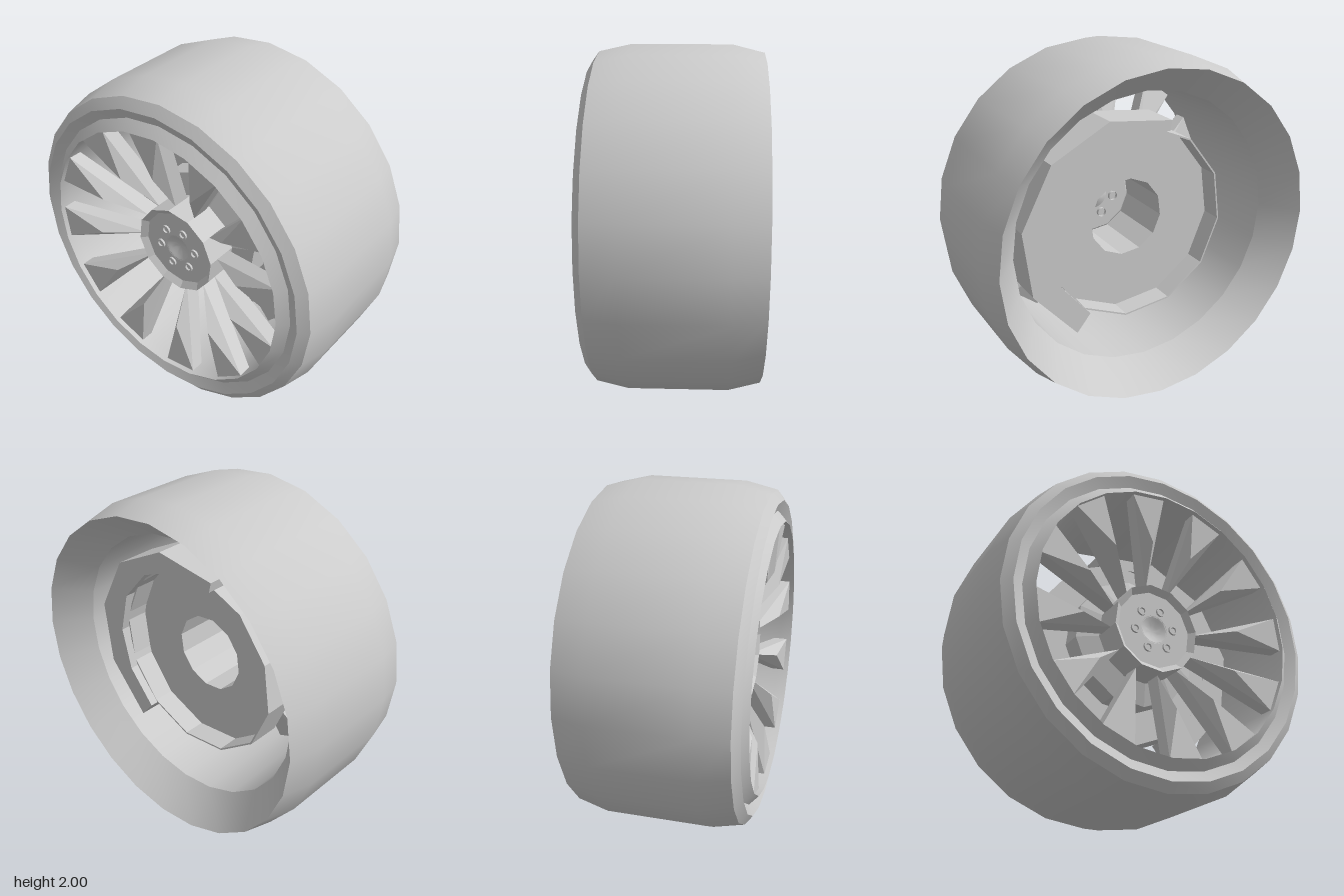
import * as THREE from 'three';
import { toCreasedNormals } from 'three/addons/utils/BufferGeometryUtils.js';
import { ConvexGeometry } from 'three/addons/geometries/ConvexGeometry.js';

const smooth = new THREE.MeshStandardMaterial({ color: 0xcccccc, side: THREE.DoubleSide });
const flat = new THREE.MeshStandardMaterial({ color: 0xcccccc, side: THREE.DoubleSide, flatShading: true });

// Turned part around the z axis from [radius, z] pairs
function turned(name, profile, sides, material, phase = 0) {
  const points = profile.map(([r, z]) => new THREE.Vector2(r, z));
  let geometry = new THREE.LatheGeometry(points, sides, phase);
  geometry.rotateX(Math.PI / 2);
  if (material === smooth) geometry = toCreasedNormals(geometry, 0.6);
  const mesh = new THREE.Mesh(geometry, material);
  mesh.name = name;
  return mesh;
}

// Point at a clockwise angle (degrees) from the top
function polar(r, degrees, z) {
  const a = THREE.MathUtils.degToRad(degrees);
  return new THREE.Vector3(r * Math.sin(a), r * Math.cos(a), z);
}

export function createModel() {
  const wheel = new THREE.Group();
  wheel.name = 'wheel';

  // Tyre with chamfered shoulders, front groove and inner barrel
  wheel.add(turned('tyre', [
    [0.955, -0.49], [1, -0.31], [1, 0.25], [0.96, 0.43], [0.905, 0.47], [0.845, 0.44],
  ], 24, smooth));
  wheel.add(turned('rim', [
    [0.845, 0.44], [0.79, 0.49], [0.79, 0.42], [0.8, -0.29], [0.955, -0.49],
  ], 24, smooth));

  // Twelve faceted spokes, each filling every second rim segment
  const spokes = new THREE.Group();
  spokes.name = 'spokes';
  const spokeGeometry = new ConvexGeometry([
    polar(0.79, -7.5, 0.46), polar(0.79, 7.5, 0.46), // front tip corners
    polar(0.79, -7.5, 0.38), polar(0.79, 7.5, 0.38), // back tip corners
    polar(0.5, 0, 0.44), // ridge peak
    polar(0.26, 0, 0.3), polar(0.26, 0, 0.2), // root
    polar(0.45, 0, 0.25),
  ]);
  for (let i = 0; i < 12; i++) {
    const spoke = new THREE.Mesh(spokeGeometry, flat);
    spoke.name = 'spoke';
    spoke.rotation.z = THREE.MathUtils.degToRad(7.5 - 30 * i);
    spokes.add(spoke);
  }
  wheel.add(spokes);

  // Hub with a raised edge around a recessed, dimpled face, over a flat bell
  const phase = THREE.MathUtils.degToRad(7.5);
  wheel.add(turned('hub', [
    [0.39, 0], [0.39, 0.13], [0.265, 0.17], [0.265, 0.36], [0.23, 0.33], [0.08, 0.33],
  ], 12, flat, phase));
  wheel.add(turned('centreDimple', [
    [0.085, 0.331], [0.065, 0.322], [0.035, 0.308], [0, 0.303],
  ], 24, smooth));

  // Six lug nuts with sunken centres
  for (let i = 0; i < 6; i++) {
    const nut = turned('lugNut', [
      [0.028, 0.31], [0.028, 0.342], [0.018, 0.342], [0.016, 0.332], [0, 0.332],
    ], 12, smooth);
    nut.position.copy(polar(0.125, 20 + 60 * i, 0));
    wheel.add(nut);
  }

  // Brake disc: front face, rear skirt, recessed rear face and hub bore
  wheel.add(turned('brakeDisc', [
    [0.235, 0.33], [0.235, -0.07], [0.565, -0.07], [0.565, -0.2], [0.575, -0.2],
    [0.575, 0], [0.39, 0],
  ], 12, flat, phase));

  // Brake caliper: curved block around the +x side of the disc
  const outline = [];
  for (let i = 0; i <= 5; i++) {
    const p = polar(0.66, -24 + 34.6 * i, 0);
    outline.push(new THREE.Vector2(p.x + 0.08, p.y));
  }
  for (let i = 6; i >= 0; i--) {
    const p = polar(0.57, -18 + 27 * i, 0);
    outline.push(new THREE.Vector2(p.x, p.y));
  }
  const caliperGeometry = new THREE.ExtrudeGeometry(new THREE.Shape(outline), { depth: 0.25, bevelEnabled: false });
  caliperGeometry.translate(0, 0, -0.25);
  const caliper = new THREE.Mesh(caliperGeometry, flat);
  caliper.name = 'brakeCaliper';
  wheel.add(caliper);

  // Stand the wheel on the ground
  wheel.children.forEach((part) => { part.position.y += 1; });
  const model = new THREE.Group();
  model.name = 'wheelAssembly';
  model.add(wheel);
  return model;
}
